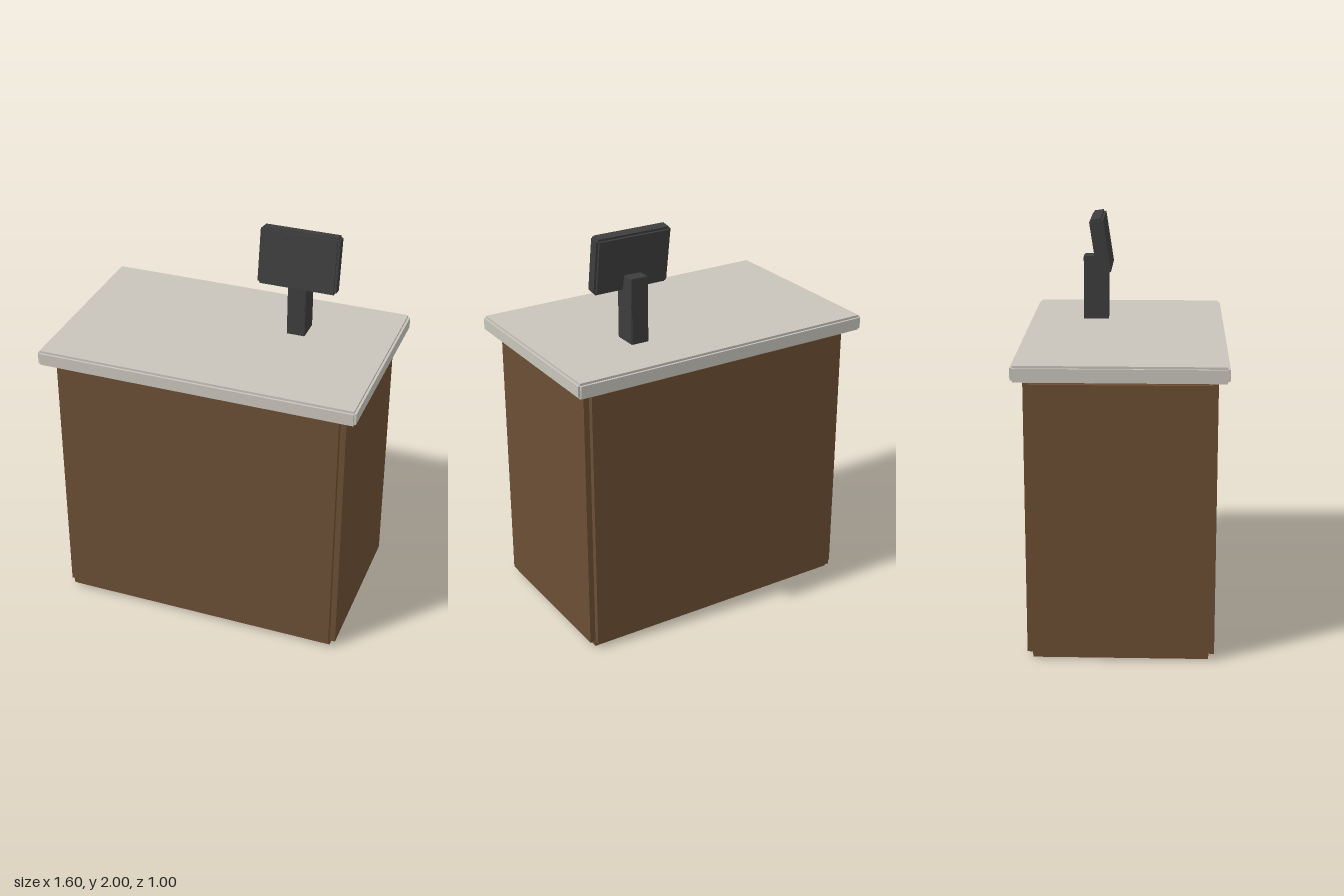
import * as THREE from 'three';
import { mergeGeometries } from 'three/addons/utils/BufferGeometryUtils.js';

// Box with a small square step cut along every edge
function steppedBox(w, h, d, n) {
  return mergeGeometries([
    new THREE.BoxGeometry(w, h - 2 * n, d - 2 * n),
    new THREE.BoxGeometry(w - 2 * n, h, d - 2 * n),
    new THREE.BoxGeometry(w - 2 * n, h - 2 * n, d),
  ]);
}

export function createModel() {
  const group = new THREE.Group();
  const material = (name, color) => {
    const m = new THREE.MeshStandardMaterial({ color });
    m.name = name;
    return m;
  };
  const wood = material('brownWood', 0x6b4e34);
  const stone = material('paleStone', 0xc8c4bb);
  const plastic = material('darkPlastic', 0x3d3d3d);

  const add = (name, size, step, position, mat) => {
    const mesh = new THREE.Mesh(steppedBox(...size, step), mat);
    mesh.name = name;
    mesh.position.set(...position);
    group.add(mesh);
    return mesh;
  };

  // Counter body and overhanging top
  add('cabinet', [1.477, 1.39, 0.898], 0.028, [0, 0.695, 0], wood);
  add('countertop', [1.6, 0.078, 0.997], 0.011, [0, 1.423, 0], stone);

  // Display on its post, tilted back
  add('displayPost', [0.092, 0.335, 0.128], 0.003, [0.319, 1.6225, -0.16], plastic);
  const display = add('display', [0.398, 0.286, 0.071], 0.011, [0.319, 1.857, -0.132], plastic);
  display.rotation.x = -0.15;

  return group;
}
